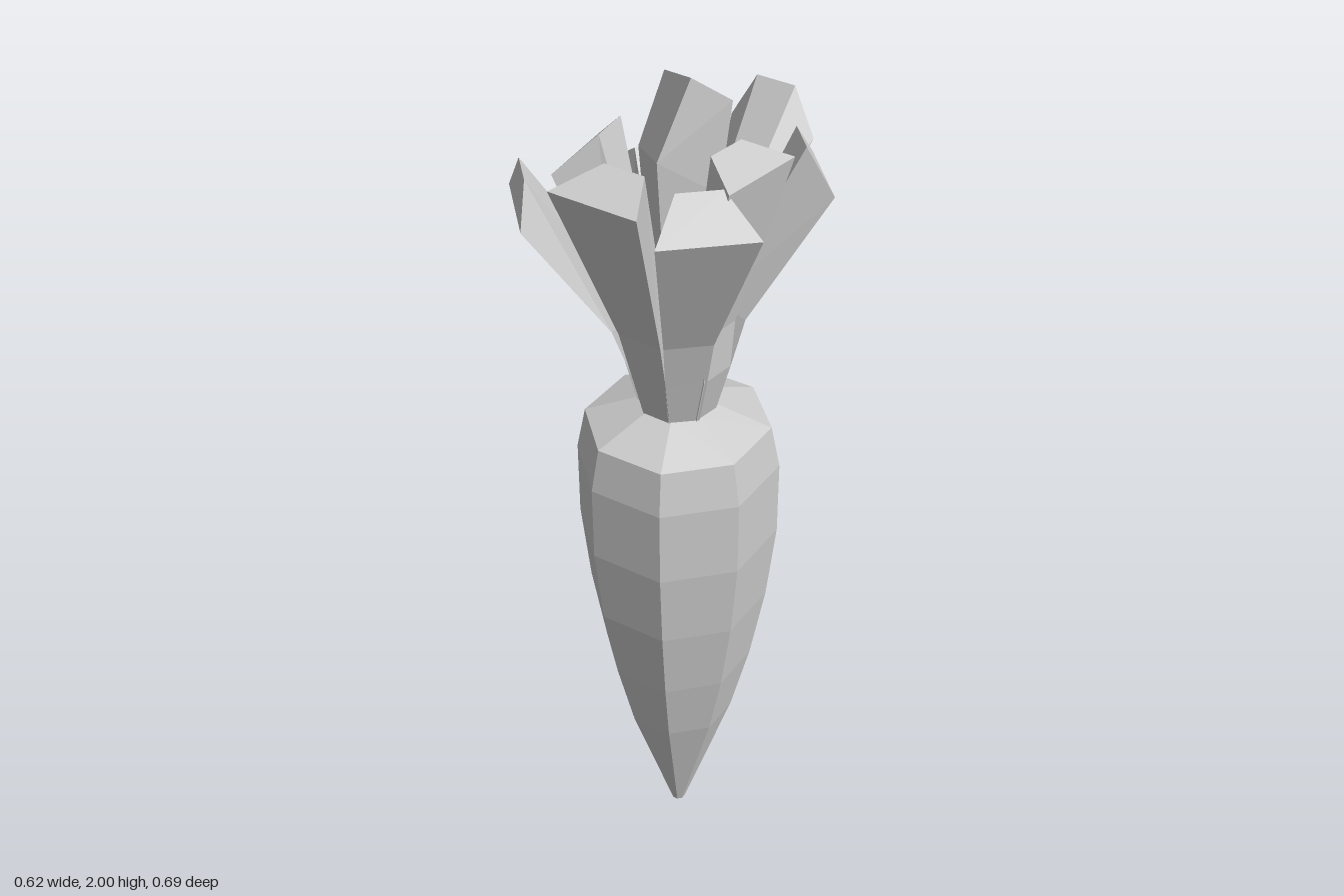
import * as THREE from 'three';

const CX = 0.014, CZ = 0.022; // axis of the root

// Skin a stack of four-cornered rings (counterclockwise from above) and cap both ends
function loft(rings) {
  const pos = [];
  const tri = (...pts) => pts.forEach((p) => pos.push(...p));
  const quad = (a, b, c, d) => tri(a, b, c, a, c, d);
  for (let k = 0; k < rings.length - 1; k++) {
    const lo = rings[k], hi = rings[k + 1];
    for (let i = 0; i < 4; i++) {
      const j = (i + 1) % 4;
      quad(lo[i], lo[j], hi[j], hi[i]);
    }
  }
  quad(...rings[rings.length - 1]);
  quad(...[...rings[0]].reverse());
  const geo = new THREE.BufferGeometry();
  geo.setAttribute('position', new THREE.Float32BufferAttribute(pos, 3));
  geo.computeVertexNormals();
  return geo;
}

// Trapezoid ring facing outward at an angle: wide outer edge, narrow inner edge
function ring(angle, cx, cz, [rOut, yOut, wOut, rIn, yIn, wIn]) {
  const s = Math.sin(angle), c = Math.cos(angle);
  const at = (r, y, w) => [cx + s * r + c * w, y, cz + c * r - s * w];
  return [at(rOut, yOut, -wOut), at(rOut, yOut, wOut), at(rIn, yIn, wIn), at(rIn, yIn, -wIn)];
}

export function createModel() {
  const group = new THREE.Group();
  const mat = new THREE.MeshStandardMaterial({ color: 0xcccccc, flatShading: true });
  const add = (geo, name) => {
    const mesh = new THREE.Mesh(geo, mat);
    mesh.name = name;
    group.add(mesh);
    return mesh;
  };

  // Eight-sided tapering root with a sloped shoulder
  const profile = [
    [0, 0], [0.016, 0], [0.13, 0.35], [0.173, 0.53], [0.206, 0.72],
    [0.226, 0.91], [0.226, 1.09], [0.206, 1.19], [0.08, 1.24], [0, 1.24],
  ].map(([r, y]) => new THREE.Vector2(r, y));
  add(new THREE.LatheGeometry(profile, 8), 'root').position.set(CX, 0, CZ);

  // Flaring stalks: angle in degrees, then outer and inner radius and height of the tip
  const stalks = [
    [20.5, 0.30, 1.83, 0.194, 1.86],
    [64.5, 0.297, 1.77, 0.193, 1.83],
    [105, 0.20, 1.83, 0.11, 1.86],
    [154, 0.288, 1.745, 0.24, 1.83],
    [199.5, 0.33, 1.74, 0.34, 1.84],
    [251, 0.286, 1.66, 0.19, 1.74],
    [299, 0.24, 1.76, 0.16, 1.84],
    [335.3, 0.336, 1.725, 0.318, 1.81],
  ];
  for (const [deg, rOut, yOut, rIn, yIn] of stalks) {
    const a = THREE.MathUtils.degToRad(deg);
    const lean = (rOut - 0.2) * 0.25;
    add(loft([
      ring(a, CX, CZ, [0.076, 1.22, 0.032, 0.02, 1.22, 0.015]),
      ring(a, CX, CZ, [0.108, 1.35, 0.044, 0.045, 1.38, 0.02]),
      ring(a, CX, CZ, [0.112 + lean, 1.46, 0.052, 0.055 + lean, 1.5, 0.026]),
      ring(a, 0, 0, [rOut, yOut, 0.103, rIn, yIn, 0.047]),
    ]), 'outerStalk');
  }

  // Tall middle stalk, leaning forward and then kinking back to a slanted tip
  add(loft([
    [[-0.03, 1.22, 0.06], [0.05, 1.22, 0.07], [0.06, 1.22, -0.02], [-0.02, 1.22, -0.03]],
    [[-0.04, 1.5, 0.05], [0.04, 1.5, 0.07], [0.07, 1.5, -0.02], [-0.01, 1.5, -0.035]],
    [[-0.065, 1.82, 0.06], [0.05, 1.84, 0.095], [0.085, 1.75, -0.03], [-0.015, 1.74, -0.045]],
    [[-0.045, 1.975, 0.01], [0.06, 2.0, 0.022], [0.09, 1.945, -0.055], [-0.01, 1.925, -0.07]],
  ]), 'middleStalk');

  return group;
}
